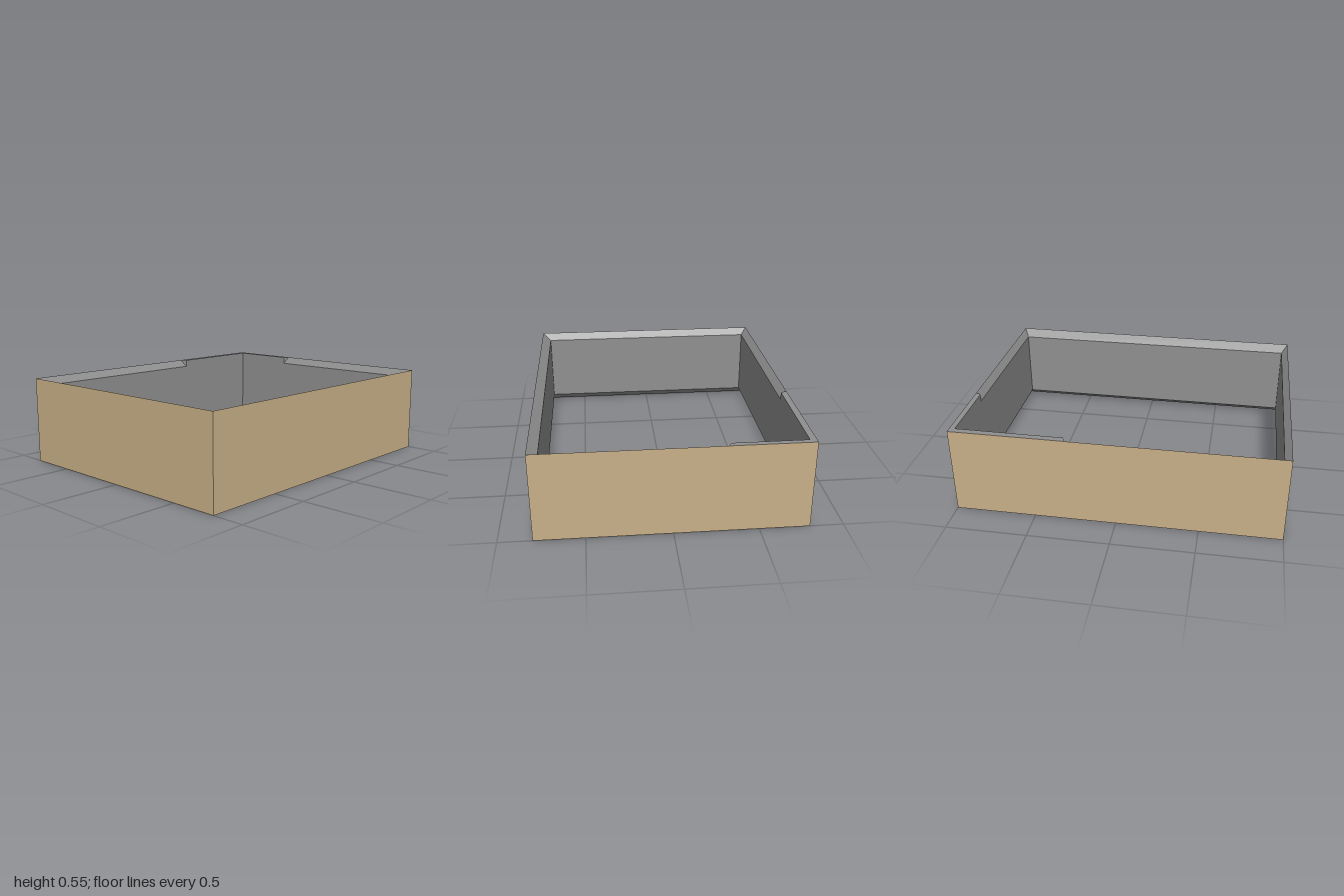
import * as THREE from 'three';

// Flat convex polygon, corners counter-clockwise as seen from its front
function panel(points, material, name) {
  const pos = [];
  for (let i = 1; i < points.length - 1; i++) pos.push(...points[0], ...points[i], ...points[i + 1]);
  const geo = new THREE.BufferGeometry();
  geo.setAttribute('position', new THREE.Float32BufferAttribute(pos, 3));
  geo.computeVertexNormals();
  const mesh = new THREE.Mesh(geo, material);
  mesh.name = name;
  return mesh;
}

// Rectangle of four corners at height y: front left, front right, back right, back left
const ring = (x0, x1, z0, z1, y) => [[x0, y, z1], [x1, y, z1], [x1, y, z0], [x0, y, z0]];

// Four panels joining two rings, facing outward or inward
function band(lower, upper, inward, material, name) {
  const group = new THREE.Group();
  group.name = name;
  ['Front', 'Left', 'Back', 'Right'].forEach((side, i) => {
    const [a, b] = inward ? [(i + 1) % 4, i] : [i, (i + 1) % 4];
    group.add(panel([lower[a], lower[b], upper[b], upper[a]], material, name + side));
  });
  return group;
}

export function createModel() {
  const tan = new THREE.MeshStandardMaterial({ color: 0xc8b088 });
  tan.name = 'tanOuterWall';
  const grey = new THREE.MeshStandardMaterial({ color: 0x909090 });
  grey.name = 'greyLining';

  const H = 0.55, low = 0.045, high = 0.503;
  const outer = y => ring(-0.8, 0.8, -1, 1, y);
  const inner = y => ring(-0.76, 0.743, -0.966, 0.96, y);

  const model = new THREE.Group();
  model.name = 'openFrame';

  // Walls, with the lining bevelled out to the rim at top and bottom
  model.add(
    band(outer(0), outer(H), false, tan, 'outerWall'),
    band(inner(high), outer(H), true, grey, 'topBevel'),
    band(inner(low), inner(high), true, grey, 'innerWall'),
    band(outer(0), inner(low), true, grey, 'bottomBevel'),
  );

  // Raised flat lip around the back right corner
  const lip = new THREE.Group();
  lip.name = 'cornerLip';
  const at = (x, z) => y => [x, y, z];
  const corner = at(-0.8, -1), cornerIn = at(-0.76, -0.966);
  const backEnd = at(-0.3, -1), backEndIn = at(-0.32, -0.966);
  const sideEnd = at(-0.8, -0.29), sideEndIn = at(-0.76, -0.31);
  lip.add(
    panel([corner(H), cornerIn(H), backEndIn(H), backEnd(H)], grey, 'backLipTop'),
    panel([cornerIn(high), backEndIn(high), backEndIn(H), cornerIn(H)], grey, 'backLipInside'),
    panel([backEndIn(high), backEnd(H), backEndIn(H)], grey, 'backLipEnd'),
    panel([corner(H), sideEnd(H), sideEndIn(H), cornerIn(H)], grey, 'sideLipTop'),
    panel([sideEndIn(high), cornerIn(high), cornerIn(H), sideEndIn(H)], grey, 'sideLipInside'),
    panel([sideEnd(H), sideEndIn(high), sideEndIn(H)], grey, 'sideLipEnd'),
  );
  model.add(lip);
  return model;
}
